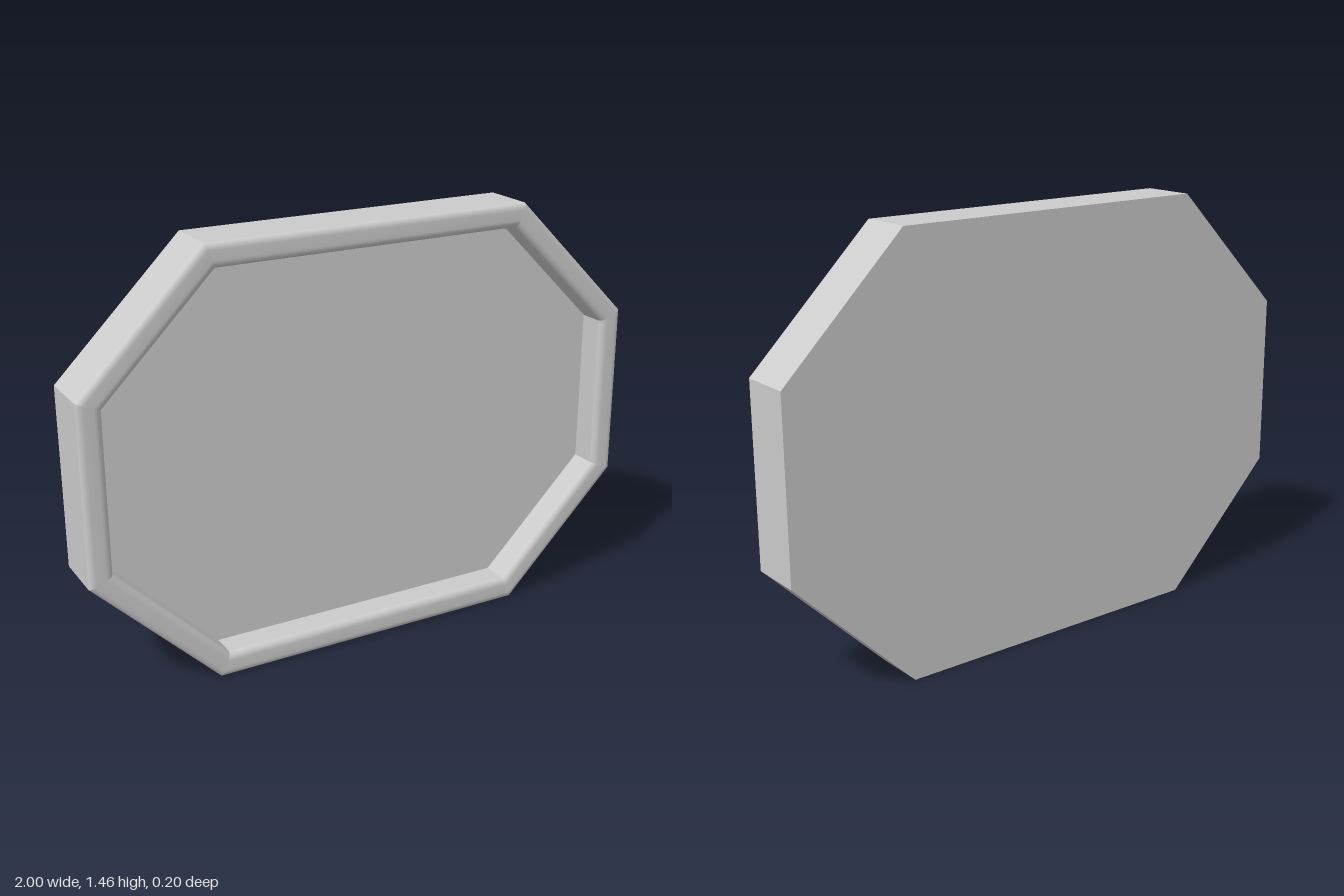
import * as THREE from 'three';
import { mergeGeometries } from 'three/addons/utils/BufferGeometryUtils.js';

const W = 1, H = 0.7275, CUT = 0.425, DEPTH = 0.1, RIM = 0.08;
const FLOOR_Z = -0.003;

// Octagon outline moved inward by d, counter-clockwise seen from the front
function octagon(d) {
  const k = d * Math.tan(Math.PI / 8);
  const w = W - d, h = H - d, x = W - CUT - k, y = H - CUT - k;
  return [[-x, -h], [x, -h], [w, -y], [w, y], [x, h], [-x, h], [-w, y], [-w, -y]]
    .map(([px, py]) => new THREE.Vector2(px, py + H));
}

// Sweeps a profile of [inset, z] points round the octagon with sharp mitres
function sweep(profile) {
  const rings = profile.map(([d]) => octagon(d));
  const sides = [];
  for (let i = 0; i < 8; i++) {
    const pos = [], index = [];
    profile.forEach(([, z], k) => {
      const a = rings[k][i], b = rings[k][(i + 1) % 8];
      pos.push(a.x, a.y, z, b.x, b.y, z);
      if (k) {
        const n = 2 * k;
        index.push(n - 2, n - 1, n + 1, n - 2, n + 1, n);
      }
    });
    const g = new THREE.BufferGeometry();
    g.setAttribute('position', new THREE.Float32BufferAttribute(pos, 3));
    g.setIndex(index);
    g.computeVertexNormals();
    sides.push(g);
  }
  return mergeGeometries(sides);
}

export function createModel() {
  const group = new THREE.Group();
  const material = new THREE.MeshStandardMaterial({ color: 0xcccccc });
  const add = (name, geometry) => {
    const mesh = new THREE.Mesh(geometry, material);
    mesh.name = name;
    group.add(mesh);
    return mesh;
  };

  // Rounded front lip: outer curve, flat face, inner curve
  const lip = [], steps = 4;
  for (let s = 0; s <= steps; s++) {
    const a = (s / steps) * Math.PI / 2;
    lip.push([0.022 * (1 - Math.cos(a)), 0.085 + 0.015 * Math.sin(a)]);
  }
  for (let s = 0; s <= steps; s++) {
    const a = (s / steps) * Math.PI / 2;
    lip.push([0.055 + 0.025 * Math.sin(a), 0.08 + 0.02 * Math.cos(a)]);
  }

  add('outerWall', sweep([[0, -DEPTH], [0, 0.085]]));
  add('rimLip', sweep(lip));
  add('innerWall', sweep([[RIM, 0.08], [RIM, FLOOR_Z]]));

  // Recessed front panel and flat back
  add('recessedPanel', new THREE.ShapeGeometry(new THREE.Shape(octagon(RIM))).translate(0, 0, FLOOR_Z));
  add('backPanel', new THREE.ShapeGeometry(new THREE.Shape(octagon(0))).rotateY(Math.PI).translate(0, 0, -DEPTH));

  return group;
}
